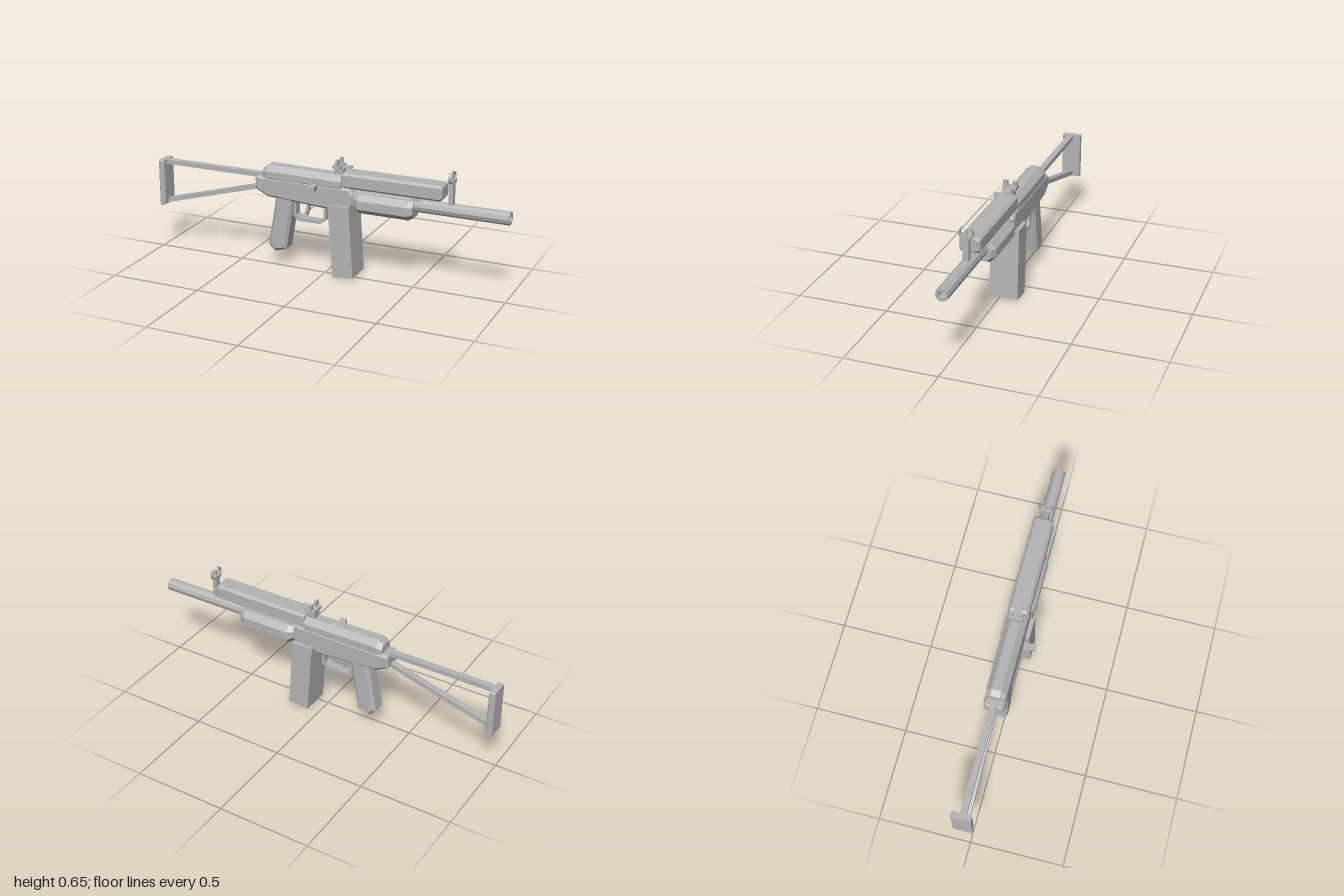
import * as THREE from 'three';

const ZC = -0.028; // centre plane of the body

export function createModel() {
  const model = new THREE.Group();
  const grey = new THREE.MeshStandardMaterial({ color: 0xb4b4b4 });
  grey.name = 'plain grey';

  const add = (name, geometry) => {
    const flat = geometry.index ? geometry.toNonIndexed() : geometry;
    flat.computeVertexNormals();
    const mesh = new THREE.Mesh(flat, grey);
    mesh.name = name;
    model.add(mesh);
    return mesh;
  };

  // Side outline (x, y) given a width along z, with optional bevelled edges
  const slab = (name, pts, width, bevel = 0, z = ZC) => {
    const shape = new THREE.Shape(pts.map(([x, y]) => new THREE.Vector2(x, y)));
    const g = new THREE.ExtrudeGeometry(shape, {
      depth: width - 2 * bevel, bevelEnabled: bevel > 0, bevelSize: bevel,
      bevelThickness: bevel, bevelOffset: -bevel, bevelSegments: 1,
    });
    g.translate(0, 0, z - width / 2 + bevel);
    return add(name, g);
  };

  const box = (name, x0, x1, y0, y1, z0, z1) => {
    const g = new THREE.BoxGeometry(x1 - x0, y1 - y0, z1 - z0);
    g.translate((x0 + x1) / 2, (y0 + y1) / 2, (z0 + z1) / 2);
    return add(name, g);
  };

  // Octagonal section: bottom, top, half width, chamfer at top and bottom (dz, dy)
  const section = (y0, y1, w, [tz, ty], [bz, by] = [tz, ty]) => {
    const half = [[y1, w - tz], [y1 - ty, w], [y0 + by, w], [y0, w - bz]];
    return [...half, ...half.map(([y, z]) => [y, -z]).reverse()];
  };

  // Skin over sections placed along x, with capped ends
  const loft = (name, rings) => {
    const pos = [], idx = [], n = rings[0][1].length;
    rings.forEach(([x, pts]) => pts.forEach(([y, z]) => pos.push(x, y, z + ZC)));
    for (let i = 0; i < rings.length - 1; i++) {
      for (let j = 0; j < n; j++) {
        const a = i * n + j, b = i * n + (j + 1) % n;
        idx.push(a, b, b + n, a, b + n, a + n);
      }
    }
    const end = (rings.length - 1) * n;
    for (let j = 1; j < n - 1; j++) idx.push(0, j + 1, j, end, end + j, end + j + 1);
    const g = new THREE.BufferGeometry();
    g.setAttribute('position', new THREE.Float32BufferAttribute(pos, 3));
    g.setIndex(idx);
    return add(name, g);
  };

  // Body and top cover
  slab('receiver', [[-0.40, 0.425], [-0.33, 0.39], [-0.03, 0.37], [0.125, 0.365], [0.17, 0.405],
    [0.17, 0.465], [0.145, 0.498], [-0.39, 0.498], [-0.40, 0.485]], 0.11, 0.012);
  loft('topCover', [
    [-0.36, section(0.49, 0.54, 0.045, [0.02, 0.02], [0.004, 0.004])],
    [-0.33, section(0.49, 0.562, 0.055, [0.03, 0.03], [0.004, 0.004])],
    [0.10, section(0.49, 0.556, 0.055, [0.03, 0.03], [0.004, 0.004])],
  ]);

  // Upper and lower fore-end
  loft('upperForeEnd', [
    [0.10, section(0.505, 0.57, 0.047, [0.012, 0.01])],
    [0.112, section(0.495, 0.578, 0.055, [0.014, 0.012])],
    [0.64, section(0.495, 0.578, 0.055, [0.014, 0.012])],
    [0.652, section(0.505, 0.57, 0.047, [0.012, 0.01])],
  ]);
  loft('lowerForeEnd', [
    [0.165, section(0.385, 0.472, 0.050, [0.02, 0.025], [0.03, 0.025])],
    [0.20, section(0.367, 0.474, 0.070, [0.03, 0.03], [0.035, 0.03])],
    [0.47, section(0.367, 0.474, 0.070, [0.03, 0.03], [0.035, 0.03])],
    [0.497, section(0.38, 0.468, 0.056, [0.025, 0.025], [0.03, 0.025])],
  ]);

  // Hollow-ended tube
  const tube = new THREE.LatheGeometry([[0, 0.12], [0.035, 0.12], [0.035, 1], [0.021, 1],
    [0.021, 0.92], [0, 0.92]].map(([r, h]) => new THREE.Vector2(r, h)), 10);
  tube.rotateZ(-Math.PI / 2).translate(0, 0.444, ZC);
  add('barrel', tube);
  slab('tubeBracket', [[0.47, 0.50], [0.49, 0.465], [0.53, 0.465], [0.515, 0.50]], 0.04);

  // Front sight: post, crossbar, pin and a pair of curved ears
  box('frontSightPost', 0.676, 0.70, 0.46, 0.592, ZC - 0.016, ZC + 0.016);
  box('frontSightBase', 0.672, 0.702, 0.588, 0.607, ZC - 0.028, ZC + 0.028);
  box('frontSightPin', 0.683, 0.693, 0.607, 0.635, ZC - 0.006, ZC + 0.006);
  for (const side of [0, Math.PI]) {
    const ear = new THREE.Shape();
    ear.absarc(0, 0, 0.038, -0.82, 0.9, false);
    ear.absarc(0, 0, 0.031, 0.9, -0.82, true);
    const g = new THREE.ExtrudeGeometry(ear, { depth: 0.018, bevelEnabled: false, curveSegments: 5 });
    g.translate(0, 0, -0.009).rotateY(Math.PI / 2 + side).translate(0.688, 0.617, ZC);
    add('frontSightEar', g);
  }

  // Rear sight: stepped base, two side plates and a flat leaf
  box('rearSightFoot', 0.05, 0.10, 0.55, 0.592, ZC - 0.024, ZC + 0.024);
  box('rearSightBase', 0.045, 0.09, 0.59, 0.607, ZC - 0.038, ZC + 0.038);
  box('rearSightLeaf', 0.09, 0.14, 0.595, 0.603, ZC - 0.022, ZC + 0.022);
  for (const s of [-1, 1]) {
    const z = ZC + s * 0.026;
    box('rearSightPlate', 0.062, 0.076, 0.605, 0.637, z - 0.012, z + 0.012);
  }

  // Magazine, hand grip, trigger and its guard
  slab('magazine', [[0.035, 0.40], [0.065, 0], [0.18, 0.012], [0.155, 0.40]], 0.156);
  slab('grip', [[-0.28, 0.41], [-0.33, 0.115], [-0.293, 0.08], [-0.225, 0.10], [-0.175, 0.40]], 0.095, 0.014);
  slab('triggerGuard', [[-0.19, 0.38], [-0.185, 0.29], [-0.155, 0.268], [-0.03, 0.268], [0.005, 0.295],
    [0.005, 0.38], [-0.01, 0.38], [-0.01, 0.303], [-0.037, 0.284], [-0.148, 0.284],
    [-0.17, 0.30], [-0.173, 0.38]], 0.05);
  slab('trigger', [[-0.128, 0.302], [-0.114, 0.298], [-0.09, 0.385], [-0.108, 0.385]], 0.022);

  // Side handle, set at a slight angle
  const handle = box('sideHandle', -0.017, 0.017, -0.014, 0.014, -0.031, 0.031);
  handle.position.set(-0.041, 0.489, 0.071);
  handle.rotation.y = 0.17;

  // Open triangular shoulder stock
  slab('stockUpperBar', [[-0.97, 0.48], [-0.38, 0.48], [-0.38, 0.505], [-0.97, 0.505]], 0.034);
  slab('stockLowerBar', [[-0.97, 0.255], [-0.38, 0.42], [-0.38, 0.445], [-0.97, 0.28]], 0.034);
  slab('buttPlate', [[-1, 0.243], [-0.965, 0.252], [-0.965, 0.505], [-1, 0.505]], 0.104, 0.005, -0.034);

  return model;
}
